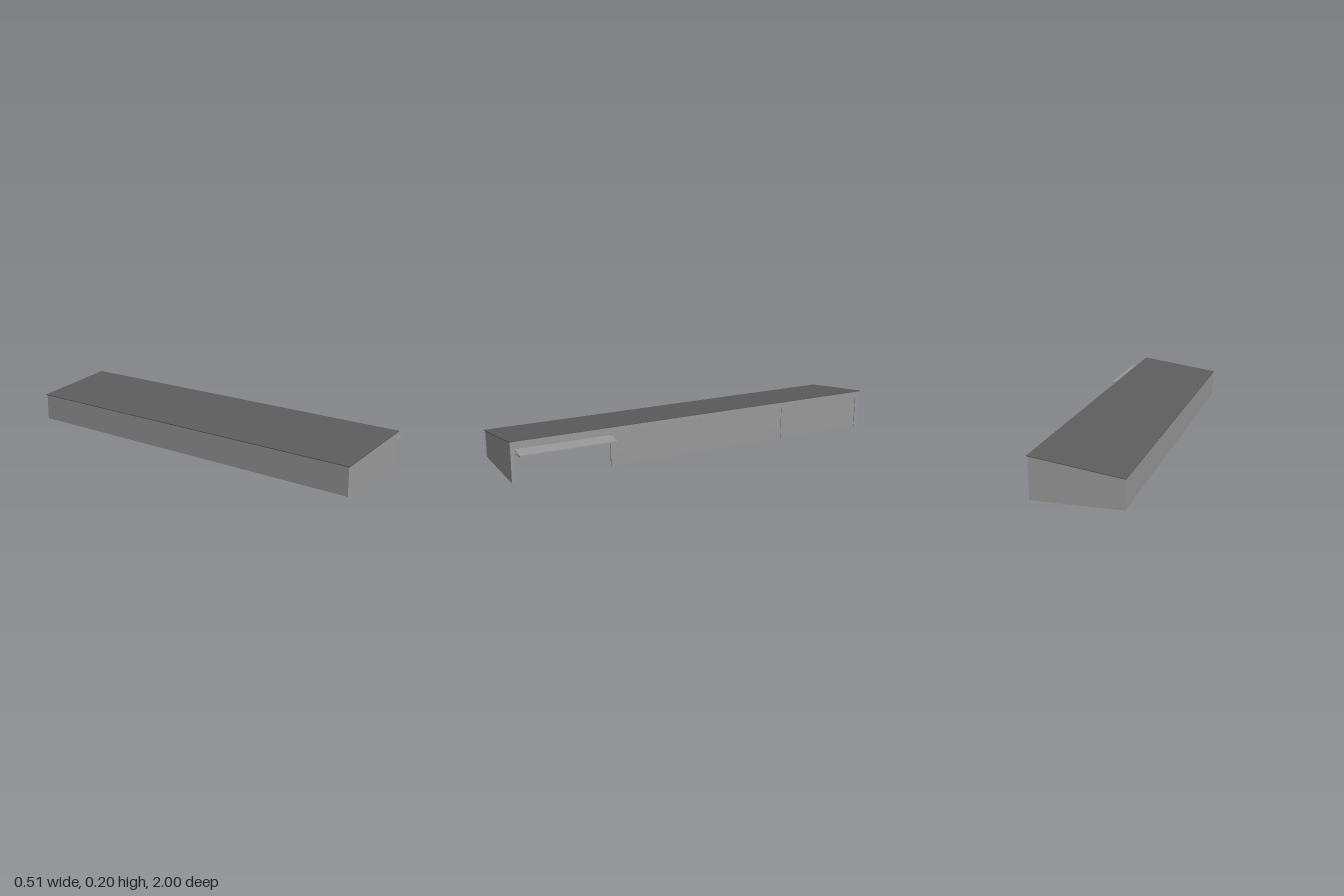
import * as THREE from 'three';

const wallGrey = new THREE.MeshStandardMaterial({ color: 0x999999 });
wallGrey.name = 'wall grey';
const roofGrey = new THREE.MeshStandardMaterial({ color: 0x5d5d5d });
roofGrey.name = 'roof grey';

const BACK = -0.254, FRONT = 0.175, END = 0.995, THICK = 0.007;
const DOOR_TOP = 0.167, BAY = 0.49, DOOR = 0.475;
const eave = (x) => 0.138 + ((x - BACK) * 0.061) / (FRONT - BACK);

// Extrudes an (x, y) cross-section from z0 to z1
function prism(name, points, z0, z1, material) {
  const shape = new THREE.Shape(points.map(([x, y]) => new THREE.Vector2(x, y)));
  const geometry = new THREE.ExtrudeGeometry(shape, { depth: z1 - z0, bevelEnabled: false });
  geometry.translate(0, 0, z0);
  const mesh = new THREE.Mesh(geometry, material);
  mesh.name = name;
  return mesh;
}

// Upright section between two x values, its top following the roof or a fixed height
const section = (x0, x1, y0, top) => [
  [x0, y0], [x1, y0], [x1, top ?? eave(x1)], [x0, top ?? eave(x0)],
];

// Sloping slab between two points, given vertical thickness
const slab = (x0, y0, x1, y1, t) => [[x0, y0], [x1, y1], [x1, y1 + t], [x0, y0 + t]];

export function createModel() {
  const model = new THREE.Group();
  model.name = 'garageRow';

  // Single-pitch roof with a small overhang
  model.add(prism('roof', slab(-0.258, eave(-0.258), 0.178, eave(0.178), 0.004), -1, 1, roofGrey));

  // Closed rear and end walls; the underside is open
  model.add(prism('rearWall', section(BACK, BACK + THICK, 0), -END, END, wallGrey));
  for (const z of [-END, END - THICK]) {
    model.add(prism('endWall', section(BACK + THICK, FRONT - THICK, 0), z, z + THICK, wallGrey));
  }

  // Door side: lintel and posts
  model.add(prism('lintel', section(FRONT - THICK, FRONT, DOOR_TOP), -END, END, wallGrey));
  for (let i = 0; i <= 4; i++) {
    const z1 = i === 0 ? END : 0.5 - (i - 1) * BAY;
    const z0 = i === 4 ? -END : 0.975 - i * BAY;
    model.add(prism('post', section(FRONT - THICK, FRONT, 0, DOOR_TOP), z0, z1, wallGrey));
  }

  // Three closed doors, each of two panels with a fine joint
  for (let i = 1; i <= 3; i++) {
    const z1 = 0.975 - i * BAY, z0 = z1 - DOOR;
    const door = new THREE.Group();
    door.name = 'closedDoor';
    const x0 = FRONT - THICK, x1 = FRONT - 0.003;
    door.add(prism('lowerPanel', section(x0, x1, 0, 0.0835), z0, z1, wallGrey));
    door.add(prism('upperPanel', section(x0, x1, 0.0842, DOOR_TOP), z0, z1, wallGrey));
    model.add(door);
  }

  // Raised folding door over the first bay
  const raised = new THREE.Group();
  raised.name = 'raisedDoor';
  raised.add(prism('upperLeaf', slab(FRONT, 0.159, 0.257, 0.152, 0.004), 0.5, 0.975, wallGrey));
  raised.add(prism('lowerLeaf', slab(0.181, 0.141, 0.257, 0.148, 0.004), 0.5, 0.975, wallGrey));
  model.add(raised);

  return model;
}
